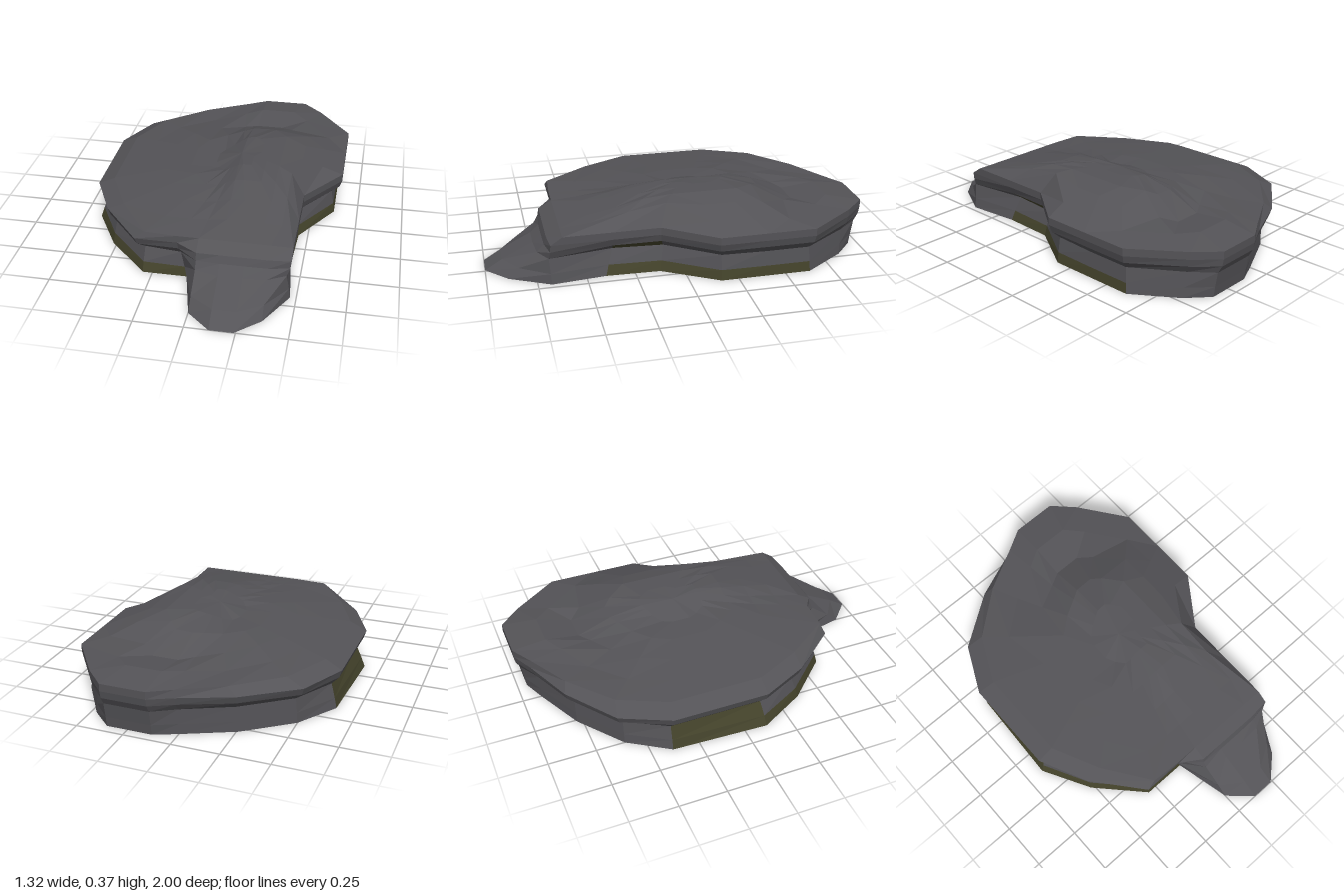
import * as THREE from 'three';

const rockGrey = new THREE.MeshStandardMaterial({ name: 'rockGrey', color: 0x545357, flatShading: true });
const mossGreen = new THREE.MeshStandardMaterial({ name: 'mossGreen', color: 0x45442c, flatShading: true });

// Outlines as [x, z], running clockwise from the back when seen from above
const base = [[.12, -.95], [.36, -.95], [.47, -.85], [.62, -.63], [.62, -.39], [.62, -.16], [.45, .12],
  [.44, .4], [.47, .68], [.36, .89], [.24, 1], [.12, 1], [0, .89], [-.07, .6], [-.3, .6],
  [-.52, .37], [-.66, .12], [-.64, -.39], [-.5, -.6], [-.26, -.78], [0, -.9]];
const waist = [[.12, -.97], [.36, -.97], [.45, -.86], [.61, -.62], [.61, -.39], [.6, -.16], [.42, .1],
  [.4, .36], [.45, .69], [.36, .74], [.24, .75], [.12, .75], [0, .72], [-.1, .58], [-.29, .56],
  [-.5, .33], [-.61, .1], [-.61, -.39], [-.49, -.6], [-.25, -.78], [0, -.9]];
const ledge = [[.12, -1], [.36, -1], [.47, -.89], [.655, -.64], [.655, -.39], [.655, -.14], [.47, .12],
  [.47, .37], [.47, .68], [.36, .69], [.24, .69], [.12, .69], [0, .69], [-.11, .62], [-.33, .62],
  [-.54, .37], [-.66, .12], [-.66, -.39], [-.54, -.64], [-.27, -.83], [0, -.94]];
const rim = [[.12, -1], [.36, -1], [.47, -.89], [.655, -.64], [.655, -.39], [.655, -.14], [.47, .12],
  [.47, .37], [.47, .62], [.36, .62], [.24, .62], [.12, .62], [0, .62], [-.11, .62], [-.28, .61],
  [-.45, .37], [-.57, .12], [-.57, -.37], [-.45, -.62], [-.22, -.81], [0, -.93]];

const centre = [0.1, -0.1];
const count = base.length;
const mix = (a, b, t) => a.map((p, i) => [p[0] + (b[i][0] - p[0]) * t, p[1] + (b[i][1] - p[1]) * t]);
const ring = (outline, y) => outline.map(([x, z]) => [x, typeof y === 'function' ? y(x, z) : y, z]);

// Piecewise linear lookup through [position, value] pairs
function ramp(points, v) {
  if (v <= points[0][0]) return points[0][1];
  for (let i = 1; i < points.length; i++) {
    const [a, p] = points[i - 1], [b, q] = points[i];
    if (v <= b) return p + (q - p) * (v - a) / (b - a);
  }
  return points[points.length - 1][1];
}

// Hump of the upper surface, with a small rise toward the back
const across = [[-.57, 0], [-.11, .057], [0, .057], [.12, .115], [.36, .115], [.655, 0]];
const along = [[-.63, 0], [-.38, 1], [.13, 1], [.62, 0]];
const backRise = [[-1, 0], [-.81, .025], [-.63, 0]];
const topHeight = (x, z) => 0.255 + ramp(across, x) * ramp(along, z) + ramp(backRise, z) * ramp([[-.3, 0], [.1, 1]], x);

// Triangles between rings; keep(band, segment) picks the faces of one part
function loft(name, rings, material, keep = () => true) {
  const pos = [];
  for (let r = 0; r + 1 < rings.length; r++) {
    for (let i = 0; i < count; i++) {
      if (!keep(r, i)) continue;
      const j = (i + 1) % count;
      const a = rings[r][i], b = rings[r][j], c = rings[r + 1][j], d = rings[r + 1][i];
      pos.push(...b, ...a, ...d, ...b, ...d, ...c);
    }
  }
  const geometry = new THREE.BufferGeometry();
  geometry.setAttribute('position', new THREE.Float32BufferAttribute(pos, 3));
  geometry.computeVertexNormals();
  const mesh = new THREE.Mesh(geometry, material);
  mesh.name = name;
  return mesh;
}

export function createModel() {
  const group = new THREE.Group();
  group.name = 'flatRock';
  const toCentre = base.map(() => centre);

  // Sides: foot, hollow waist, overhanging ledge and rim
  const sides = [
    ring(base, 0),
    ring(mix(base, waist, 0.36), 0.055),
    ring(waist, 0.135),
    ring(mix(waist, ledge, 0.75), 0.175),
    ring(ledge, 0.215),
    ring(rim, 0.255),
  ];
  // Moss grows low on both flanks and higher in two places
  const mossy = (band, i) =>
    (band === 0 && ((i >= 3 && i <= 6) || (i >= 13 && i <= 16))) ||
    (band === 1 && i === 16) || (band === 2 && i === 6);
  group.add(loft('rockSides', sides, rockGrey, (b, i) => !mossy(b, i)));
  group.add(loft('mossPatches', sides, mossGreen, mossy));

  // Upper surface
  const top = [sides[5]];
  for (const t of [0.2, 0.4, 0.6, 0.8, 1]) top.push(ring(mix(rim, toCentre, t), topHeight));
  group.add(loft('rockTop', top, rockGrey));

  // Flat underside
  group.add(loft('rockUnderside', [ring(toCentre, 0), ring(base, 0)], rockGrey));
  return group;
}
